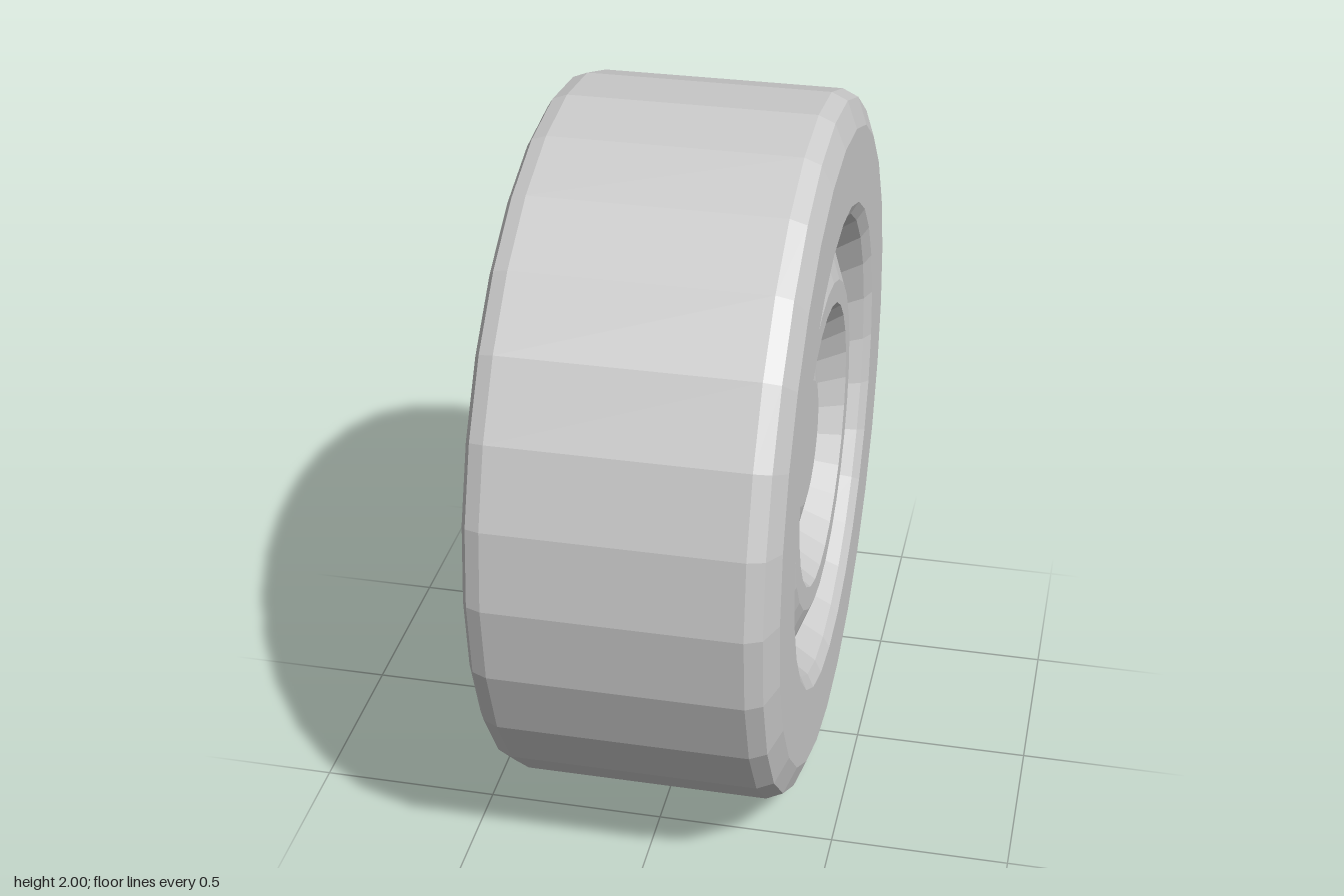
import * as THREE from 'three';

const SIDES = 28;
const RADIUS = 1;

// Spins a profile of [radius, x] points around the wheel's axle (the x axis).
function spin(name, profile, material) {
  const points = profile.map(([r, x]) => new THREE.Vector2(r, x));
  const geometry = new THREE.LatheGeometry(points, SIDES);
  geometry.rotateZ(-Math.PI / 2);
  const mesh = new THREE.Mesh(geometry, material);
  mesh.name = name;
  mesh.position.y = RADIUS;
  return mesh;
}

export function createModel() {
  const wheel = new THREE.Group();
  wheel.name = 'wheel';
  const material = new THREE.MeshStandardMaterial({ color: 0xcccccc, flatShading: true });

  // Tyre: deep cavity wall, inner side, bevelled tread, outer side, rim groove
  wheel.add(spin('tyre', [
    [0.655, 0.16], [0.655, -0.405], [0.96, -0.405], [0.985, -0.39], [RADIUS, -0.35],
    [RADIUS, 0.33], [0.98, 0.375], [0.905, 0.405],
    [0.69, 0.405], [0.655, 0.385], [0.61, 0.315],
  ], material));

  // Raised ring of the wheel disc, sloping up from the rim groove
  wheel.add(spin('discFace', [
    [0.61, 0.315], [0.47, 0.37], [0.405, 0.37], [0.34, 0.275],
  ], material));

  // Shallow domed cap inside the hub recess
  wheel.add(spin('hubCap', [
    [0.34, 0.275], [0.33, 0.275], [0.27, 0.305], [0.18, 0.325], [0, 0.325],
  ], material));

  // Back of the disc, following the pressed shape of its face
  wheel.add(spin('discBack', [
    [0, 0.19], [0.18, 0.19], [0.27, 0.17], [0.33, 0.15],
    [0.4, 0.15], [0.47, 0.22], [0.655, 0.16],
  ], material));

  return wheel;
}
